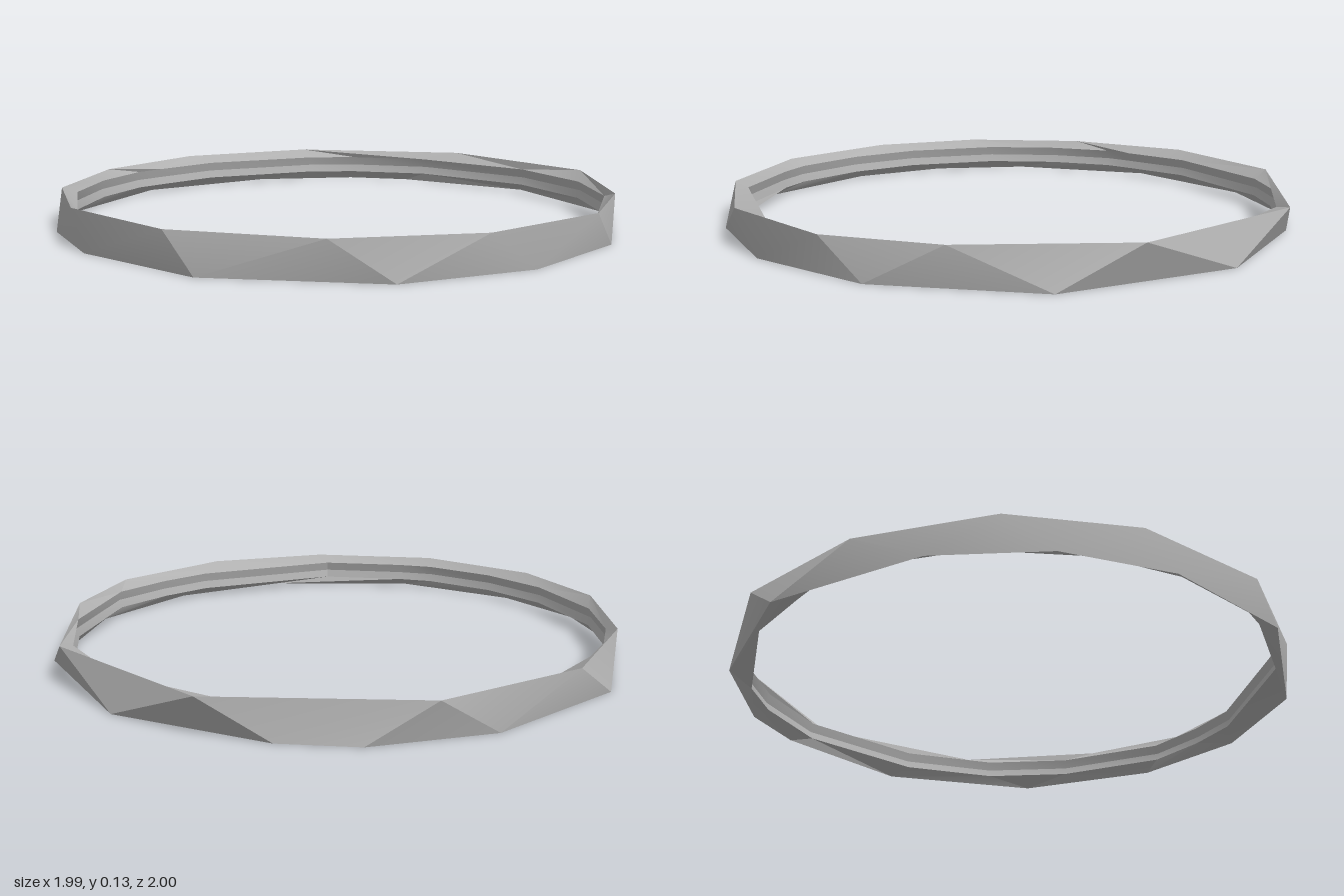
import * as THREE from 'three';
import { toCreasedNormals } from 'three/addons/utils/BufferGeometryUtils.js';

// Hand-cut loops as [x, z] corners around the ring
const TOP = [[-0.26, 0.97], [0.24, 0.97], [0.67, 0.76], [0.95, 0.36], [0.99, -0.04], [0.84, -0.59],
  [0.27, -1], [-0.43, -0.93], [-0.84, -0.57], [-0.99, -0.1], [-0.93, 0.37], [-0.69, 0.73]];
const BOTTOM = [[-0.15, 1], [0.43, 0.92], [0.79, 0.63], [0.99, 0.21], [0.97, -0.35], [0.58, -0.84], [0.04, -1],
  [-0.22, -0.99], [-0.6, -0.82], [-0.95, -0.4], [-1, 0.16], [-0.87, 0.52], [-0.61, 0.8]];
const INNER = [[0.94, 0.27], [0.82, 0.48], [0.69, 0.64], [0.3, 0.88], [0.2, 0.94], [-0.13, 0.94], [-0.27, 0.92],
  [-0.53, 0.79], [-0.74, 0.6], [-0.92, 0.28], [-0.96, 0], [-0.93, -0.25], [-0.88, -0.35], [-0.75, -0.59],
  [-0.38, -0.89], [-0.19, -0.95], [0.13, -0.96], [0.59, -0.76], [0.84, -0.48], [0.95, -0.16]];

// Loop at a height, sorted by angle
function loop(points, y, scale = 1) {
  return points
    .map(([x, z]) => ({ p: [x * scale, y, z * scale], a: Math.atan2(z, x) }))
    .sort((u, v) => u.a - v.a);
}

// Stitch two loops with different corner counts into a band of triangles
function band(A, B) {
  const at = (L, i) => L[i % L.length].p;
  const angle = (L, i) => L[i % L.length].a + (i >= L.length ? 2 * Math.PI : 0);
  const pos = [];
  let i = 0, j = 0;
  while (i < A.length || j < B.length) {
    const stepA = j >= B.length || (i < A.length && angle(A, i + 1) < angle(B, j + 1));
    pos.push(...at(A, i), ...at(B, j), ...(stepA ? at(A, i + 1) : at(B, j + 1)));
    if (stepA) i++; else j++;
  }
  const geo = new THREE.BufferGeometry();
  geo.setAttribute('position', new THREE.Float32BufferAttribute(pos, 3));
  return toCreasedNormals(geo, 0.5);
}

export function createModel() {
  const group = new THREE.Group();
  group.name = 'ring';
  const metal = new THREE.MeshStandardMaterial({ color: 0xb0b0b0, side: THREE.DoubleSide });
  metal.name = 'grey metal';

  // Cross-section, from the bottom edge up the outside and down the grooved inside
  const section = [
    loop(BOTTOM, 0),
    loop(TOP, 0.13),
    loop(INNER, 0.1),
    loop(INNER, 0.065, 1.01),
    loop(INNER, 0.035),
  ];
  const names = ['outerWall', 'topRim', 'upperGroove', 'lowerGroove', 'bottomRim'];
  names.forEach((name, k) => {
    const mesh = new THREE.Mesh(band(section[k], section[(k + 1) % section.length]), metal);
    mesh.name = name;
    group.add(mesh);
  });
  return group;
}
